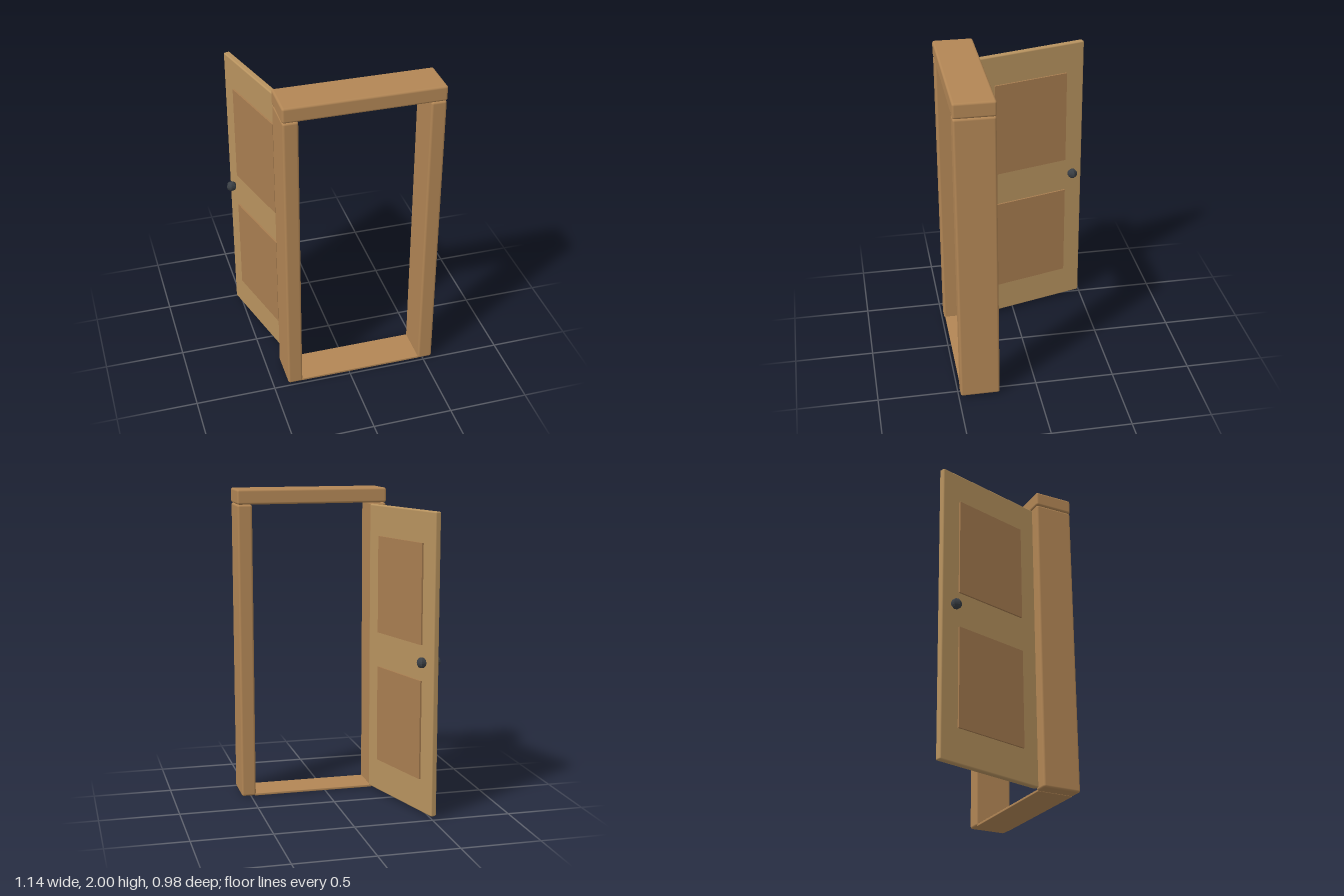
import * as THREE from 'three';
import { RoundedBoxGeometry } from 'three/addons/geometries/RoundedBoxGeometry.js';

const frameMat = new THREE.MeshStandardMaterial({ color: 0xb28655 });
const doorMat = new THREE.MeshStandardMaterial({ color: 0xb8935f });
const panelMat = new THREE.MeshStandardMaterial({ color: 0xa87d50 });
const knobMat = new THREE.MeshStandardMaterial({ color: 0x3a3f45, flatShading: true });

// Box given by its min and max corners, with softened edges when bevel > 0
function block(parent, name, [x0, y0, z0], [x1, y1, z1], bevel, material) {
  const size = [x1 - x0, y1 - y0, z1 - z0];
  const geometry = bevel > 0
    ? new RoundedBoxGeometry(...size, 2, bevel)
    : new THREE.BoxGeometry(...size);
  const mesh = new THREE.Mesh(geometry, material);
  mesh.name = name;
  mesh.position.set((x0 + x1) / 2, (y0 + y1) / 2, (z0 + z1) / 2);
  parent.add(mesh);
  return mesh;
}

export function createModel() {
  const model = new THREE.Group();
  model.name = 'openDoor';

  // Door frame: two posts, header and a thin threshold
  const frame = new THREE.Group();
  frame.name = 'doorFrame';
  model.add(frame);
  const back = 0.24, front = 0.487;
  block(frame, 'rightPost', [-0.405, 0.003, back], [-0.312, 1.905, front], 0.014, frameMat);
  block(frame, 'leftPost', [0.468, 0.003, back], [0.561, 1.905, front], 0.014, frameMat);
  block(frame, 'header', [-0.407, 1.905, back - 0.002], [0.563, 2, front + 0.002], 0.014, frameMat);
  block(frame, 'threshold', [-0.32, 0, back + 0.008], [0.476, 0.016, front - 0.008], 0.004, frameMat);

  // Door leaf swung open: origin at the hinge, leaf runs along local -z
  const door = new THREE.Group();
  door.name = 'door';
  door.position.set(-0.316, 0, 0.243);
  door.rotation.y = THREE.MathUtils.degToRad(15);
  model.add(door);
  block(door, 'doorLeaf', [-0.02, 0.018, -0.755], [0.02, 1.897, 0], 0.009, doorMat);

  // Raised panels stand proud of both faces
  for (const [name, y0, y1] of [['lowerPanel', 0.23, 0.855], ['upperPanel', 1.08, 1.702]]) {
    block(door, name, [-0.031, y0, -0.63], [0.031, y1, -0.125], 0, panelMat);
  }

  // Knobs on both faces
  for (const side of [-1, 1]) {
    const knob = new THREE.Mesh(new THREE.SphereGeometry(0.033, 6, 8), knobMat);
    knob.name = side < 0 ? 'outerKnob' : 'innerKnob';
    knob.position.set(side * 0.052, 0.98, -0.673);
    door.add(knob);
  }

  return model;
}
